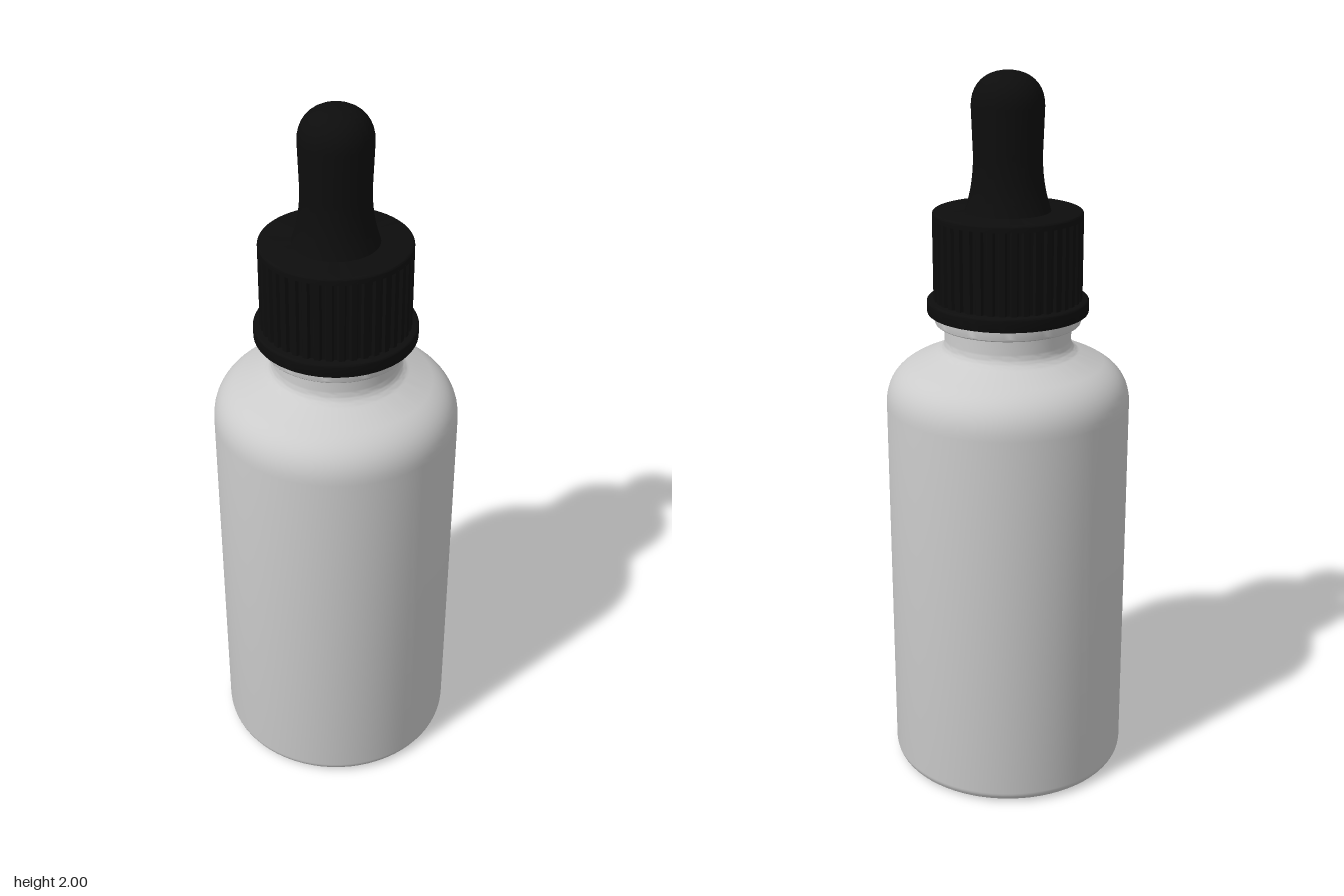
import * as THREE from 'three';
import { toCreasedNormals } from 'three/addons/utils/BufferGeometryUtils.js';

const grey = new THREE.MeshStandardMaterial({ color: 0xcccccc });
const black = new THREE.MeshStandardMaterial({ color: 0x0d0d0d });

// Turned part from a bottom-to-top outline path
function turned(name, path, material) {
  const lathe = new THREE.LatheGeometry(path.getPoints(10), 72);
  const mesh = new THREE.Mesh(toCreasedNormals(lathe, 0.6), material);
  mesh.name = name;
  return mesh;
}

const outline = (x, y) => new THREE.Path().moveTo(x, y);

export function createModel() {
  const model = new THREE.Group();
  model.name = 'dropperBottle';

  // Bottle with a shallow hollow base, rounded shoulder and narrow neck
  const body = outline(0, 0.025);
  body.quadraticCurveTo(0.2, 0.022, 0.27, 0.006);
  body.quadraticCurveTo(0.285, 0, 0.3, 0);
  body.bezierCurveTo(0.325, 0, 0.338, 0.013, 0.338, 0.038);
  body.lineTo(0.338, 1.1);
  body.bezierCurveTo(0.338, 1.165, 0.305, 1.197, 0.265, 1.217);
  body.lineTo(0.2, 1.246);
  body.quadraticCurveTo(0.174, 1.258, 0.174, 1.285);
  body.lineTo(0.174, 1.36);
  model.add(turned('bottle', body, grey));

  // Flange under the cap
  const flange = outline(0.17, 1.327);
  flange.lineTo(0.192, 1.327);
  flange.quadraticCurveTo(0.2, 1.327, 0.2, 1.335);
  flange.lineTo(0.2, 1.362);
  model.add(turned('neckFlange', flange, grey));

  // Tamper ring at the foot of the cap
  const ring = outline(0.17, 1.358);
  ring.lineTo(0.215, 1.358);
  ring.quadraticCurveTo(0.221, 1.358, 0.221, 1.364);
  ring.lineTo(0.221, 1.39);
  ring.quadraticCurveTo(0.221, 1.397, 0.214, 1.397);
  ring.lineTo(0.19, 1.397);
  model.add(turned('tamperRing', ring, black));

  // Ribbed grip: toothed outline pulled upwards
  const ribs = 40;
  const teeth = [];
  for (let i = 0; i < ribs; i++) {
    for (const [t, r] of [[0, 0.195], [0.25, 0.195], [0.4, 0.203], [0.85, 0.203]]) {
      const a = ((i + t) / ribs) * Math.PI * 2;
      teeth.push(new THREE.Vector2(Math.cos(a) * r, Math.sin(a) * r));
    }
  }
  const gripGeometry = new THREE.ExtrudeGeometry(new THREE.Shape(teeth), { depth: 0.226, bevelEnabled: false });
  gripGeometry.rotateX(-Math.PI / 2).translate(0, 1.394, 0);
  const grip = new THREE.Mesh(gripGeometry, black);
  grip.name = 'ribbedCap';
  model.add(grip);

  // Smooth top plate of the cap
  const plate = outline(0.19, 1.617);
  plate.lineTo(0.203, 1.617);
  plate.lineTo(0.203, 1.628);
  plate.quadraticCurveTo(0.203, 1.636, 0.195, 1.636);
  plate.lineTo(0, 1.636);
  model.add(turned('capTop', plate, black));

  // Squeeze bulb with a flared foot and domed tip
  const bulb = outline(0.118, 1.63);
  bulb.bezierCurveTo(0.104, 1.67, 0.093, 1.71, 0.092, 1.78);
  bulb.lineTo(0.097, 1.91);
  bulb.bezierCurveTo(0.097, 1.965, 0.06, 2, 0, 2);
  model.add(turned('squeezeBulb', bulb, black));

  return model;
}
